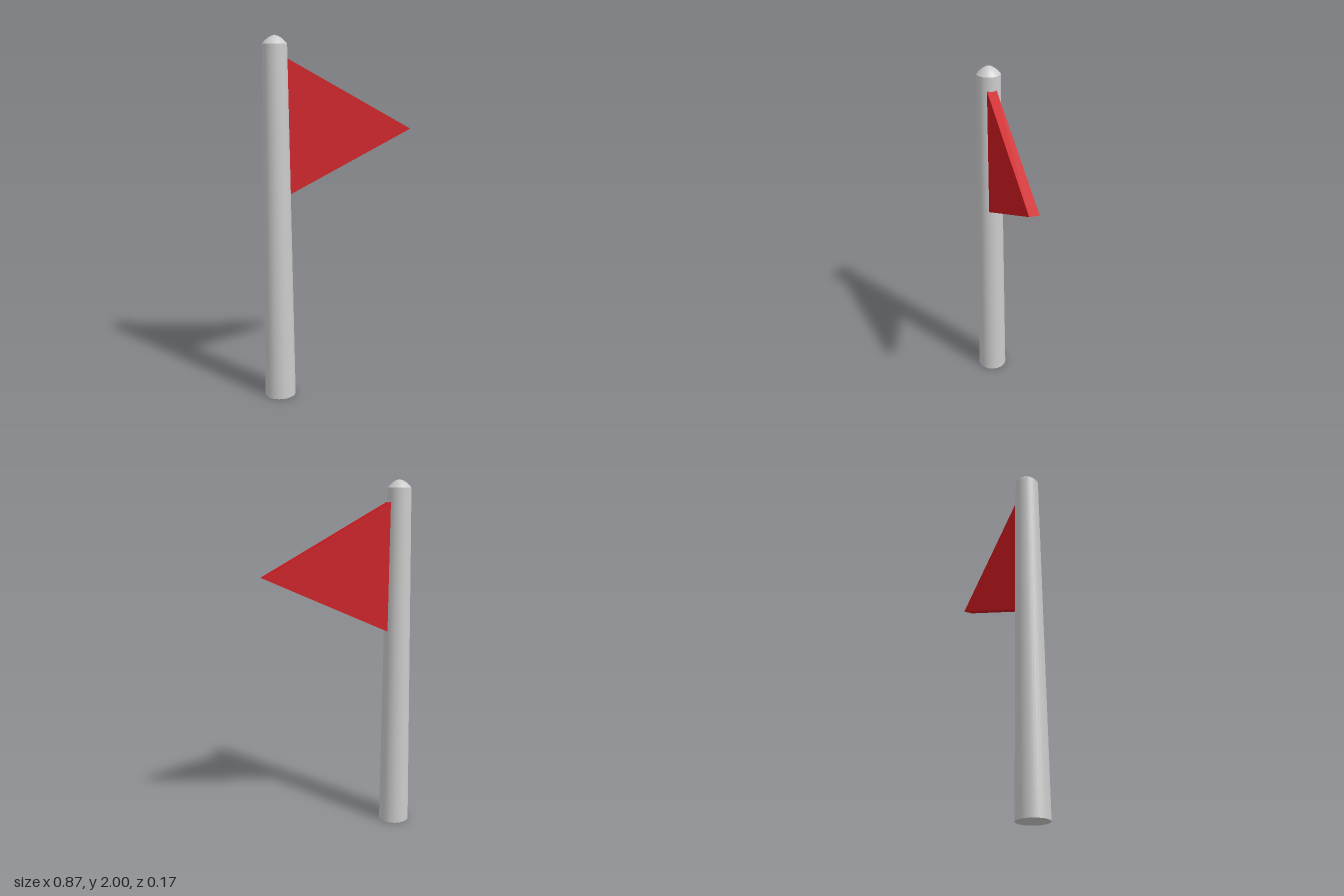
import * as THREE from 'three';

const POLE_X = -0.35;

export function createModel() {
  const group = new THREE.Group();
  const grey = new THREE.MeshStandardMaterial({ color: 0xcccccc });
  const red = new THREE.MeshStandardMaterial({ color: 0xcc1a20 });

  const add = (name, geometry, material) => {
    const mesh = new THREE.Mesh(geometry, material);
    mesh.name = name;
    group.add(mesh);
    return mesh;
  };

  // Tapered pole with a closed foot
  add('pole', new THREE.CylinderGeometry(0.066, 0.087, 1.955, 32), grey)
    .position.set(POLE_X, 1.955 / 2, 0);

  // Shallow domed cap
  const profile = [[0.066, 1.955], [0.053, 1.97], [0.036, 1.985], [0.018, 1.995], [0, 2]]
    .map(([r, y]) => new THREE.Vector2(r, y));
  add('poleCap', new THREE.LatheGeometry(profile, 32), grey).position.x = POLE_X;

  // Triangular pennant, its inner edge sunk slightly into the pole
  const pennant = new THREE.Shape([
    new THREE.Vector2(-0.3, 1.886),
    new THREE.Vector2(-0.3, 1.151),
    new THREE.Vector2(0.435, 1.49),
  ]);
  const depth = 0.054;
  add('pennant', new THREE.ExtrudeGeometry(pennant, { depth, bevelEnabled: false }), red)
    .position.z = -depth / 2;

  return group;
}
